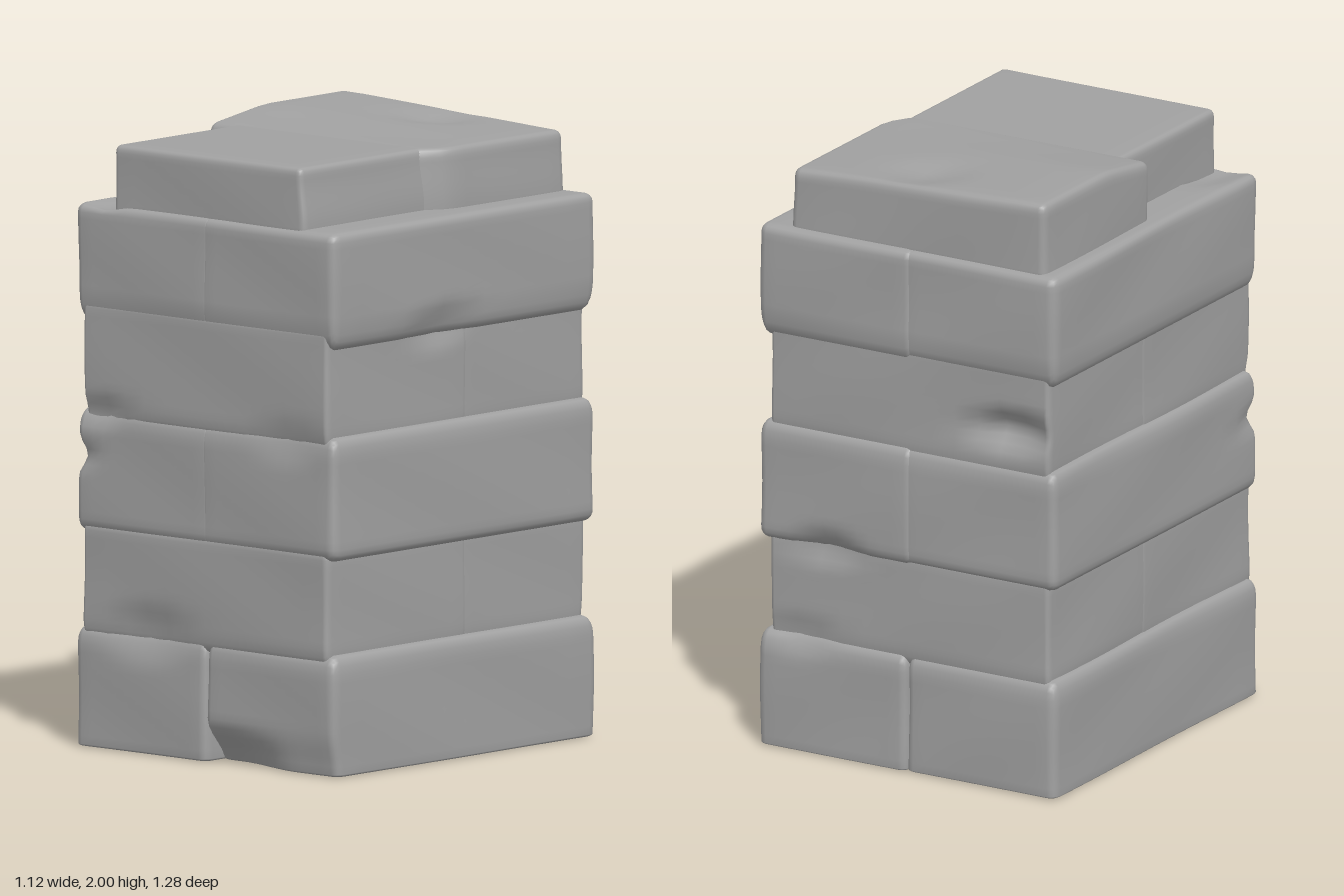
import * as THREE from 'three';
import { mergeVertices } from 'three/addons/utils/BufferGeometryUtils.js';

const material = new THREE.MeshStandardMaterial({ color: 0xa1a1a1 });
const clamp = THREE.MathUtils.clamp;
const smooth = THREE.MathUtils.smoothstep;

// Worn hollows, wider than tall: centre, radius, and push direction
const hollows = [
  { at: [-0.38, 1.22, -0.62], radius: 0.19, push: [0, 0, 0.06] },
  { at: [0.02, 1.98, -0.45], radius: 0.17, push: [0, -0.025, 0] },
  { at: [0.3, 0.71, -0.63], radius: 0.18, push: [0, 0, 0.03] },
  { at: [0.4, 0.4, -0.63], radius: 0.18, push: [0, 0, 0.02] },
  { at: [-0.56, 0.95, 0.63], radius: 0.14, push: [0.02, 0, -0.02] },
  { at: [-0.25, 0.4, 0.63], radius: 0.25, push: [0, 0, -0.025] },
  { at: [-0.45, 1.1, 0.63], radius: 0.14, push: [0, 0, -0.025] },
  { at: [0.55, 1.42, 0.1], radius: 0.2, push: [-0.025, 0, 0] },
  { at: [0.35, 1.08, 0.63], radius: 0.2, push: [0, 0, -0.015] },
  { at: [-0.44, 1.77, 0.55], radius: 0.12, push: [0, -0.03, 0] },
].map(h => ({ at: new THREE.Vector3(...h.at), radius: h.radius, push: new THREE.Vector3(...h.push) }));

// Gentle, repeatable unevenness
const wave = p => Math.sin(p.x * 7 + p.y * 5) * Math.sin(p.z * 6 - p.y * 9 + 1);

// One axis of a rounded block: the outer quarter of the grid covers the rounded edge
function axis(t, lo, hi, rLo, rHi) {
  const a = lo + rLo, b = hi - rHi, r = t < 0 ? rLo : rHi;
  const core = THREE.MathUtils.lerp(a, b, (clamp(t, -0.75, 0.75) / 0.75 + 1) / 2);
  return { core, r, edge: Math.abs(t) > 0.75 ? (t - Math.sign(t) * 0.75) * 4 : 0 };
}

// Stone filling a range on each axis; radii = [x, y bottom, y top, z]
function stone(name, [x0, x1], [y0, y1], [z0, z1], [rx, rb, rt, rz], shape) {
  let geo = new THREE.BoxGeometry(2, 2, 2, 16, 16, 16);
  geo.deleteAttribute('uv');
  geo.deleteAttribute('normal');
  geo = mergeVertices(geo);
  const pos = geo.attributes.position;
  const v = new THREE.Vector3(), e = new THREE.Vector3(), d = new THREE.Vector3();
  for (let i = 0; i < pos.count; i++) {
    v.fromBufferAttribute(pos, i);
    const ax = axis(v.x, x0, x1, rx, rx);
    const ay = axis(v.y, y0, y1, rb, rt);
    const az = axis(v.z, z0, z1, rz, rz);
    e.set(ax.edge, ay.edge, az.edge).normalize();
    v.set(ax.core + e.x * ax.r, ay.core + e.y * ay.r, az.core + e.z * az.r);
    // Uneven sides, always worn inwards
    const wear = 0.008 * (0.5 + 0.5 * wave(v));
    v.x -= e.x * wear;
    v.z -= e.z * wear;
    for (const h of hollows) {
      d.subVectors(v, h.at);
      d.y *= 2;
      v.addScaledVector(h.push, 1 - smooth(d.length(), 0, h.radius));
    }
    if (shape) shape(v);
    pos.setXYZ(i, v.x, v.y, v.z);
  }
  geo.computeVertexNormals();
  const mesh = new THREE.Mesh(geo, material);
  mesh.name = name;
  return mesh;
}

// Bottom front edge broken away next to the middle joint
function brokenFoot(v) {
  const k = smooth(v.z, 0.45, 0.63) * (1 - smooth(v.y, 0, 0.15)) * (1 - smooth(v.x, 0.08, 0.38) * 0.75);
  v.z -= 0.085 * k;
}

// Back capstone rises towards its left rear, and narrows to meet the front one
function unevenCap(v) {
  const up = smooth(v.y, 1.78, 1.95);
  v.y += 0.036 * up * clamp((0.05 - v.z) / 0.25, 0, 1) * clamp((0.42 - v.x) / 0.85, 0, 1);
  if (v.x > 0.3) v.x -= 0.05 * smooth(v.z, -0.06, 0.05) + 0.008 * up;
}

function frontCapTaper(v) {
  if (v.x > 0.3) v.x -= 0.015 * smooth(v.y, 1.78, 1.95);
}

export function createModel() {
  const model = new THREE.Group();
  model.name = 'stonePillar';

  // Wide courses: a left and a right block each
  const wide = [
    { name: 'baseCourse', y: [0.005, 0.4], r: [0.035, 0.01, 0.06, 0.04], lap: 0.008 },
    { name: 'middleCourse', y: [0.705, 1.105], r: [0.035, 0.04, 0.06, 0.04], lap: 0.03 },
    { name: 'upperCourse', y: [1.39, 1.77], r: [0.035, 0.09, 0.03, 0.045], lap: 0.03 },
  ];
  for (const { name, y, r, lap } of wide) {
    const course = new THREE.Group();
    course.name = name;
    const foot = name === 'baseCourse' ? brokenFoot : null;
    course.add(
      stone('rightBlock', [-0.562, lap], y, [-0.634, 0.638], r),
      stone('leftBlock', [-lap, 0.558], y, [-0.64, 0.638], r, foot));
    model.add(course);
  }

  // Narrow courses: a front and a back block each
  for (const [name, y] of [['lowerNarrowCourse', [0.36, 0.74]], ['upperNarrowCourse', [1.06, 1.46]]]) {
    const course = new THREE.Group();
    course.name = name;
    const r = [0.022, 0.06, 0.03, 0.03];
    course.add(
      stone('frontBlock', [-0.535, 0.525], y, [-0.055, 0.634], r),
      stone('backBlock', [-0.533, 0.523], y, [-0.622, -0.005], r));
    model.add(course);
  }

  // Capstones
  const cap = new THREE.Group();
  cap.name = 'capstones';
  cap.add(
    stone('frontCapstone', [-0.415, 0.41], [1.74, 1.967], [-0.05, 0.615], [0.025, 0.02, 0.025, 0.025], frontCapTaper),
    stone('backCapstone', [-0.508, 0.455], [1.74, 1.967], [-0.607, 0.06], [0.03, 0.02, 0.03, 0.035], unevenCap));
  model.add(cap);

  return model;
}
